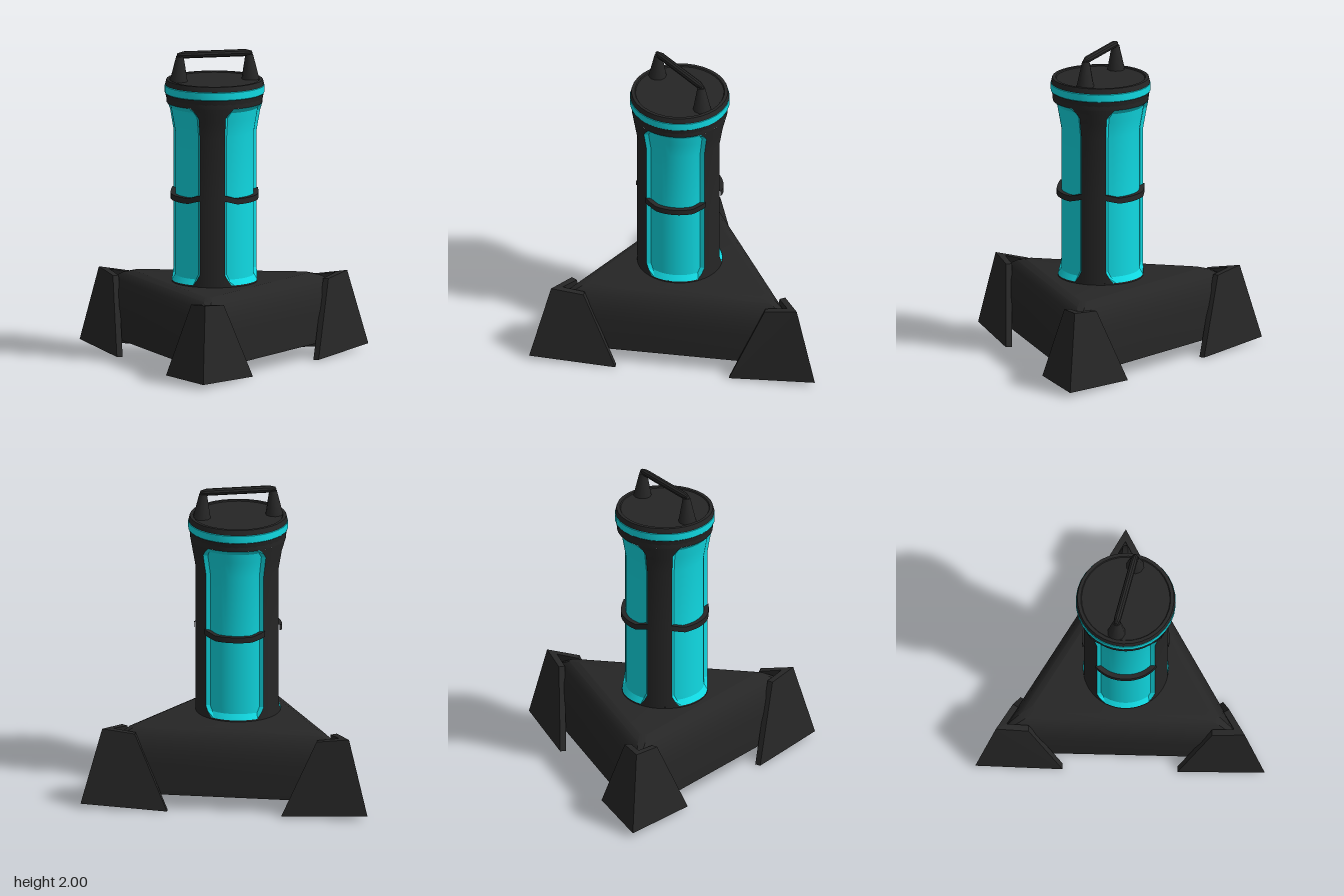
import * as THREE from 'three';
import { toCreasedNormals } from 'three/addons/utils/BufferGeometryUtils.js';
import { ConvexGeometry } from 'three/addons/geometries/ConvexGeometry.js';

const RAD = Math.PI / 180;

// Point at angle a (degrees, from +x towards +z), radius r, height y
const polar = (a, r, y) => new THREE.Vector3(r * Math.cos(a * RAD), y, r * Math.sin(a * RAD));

// Outward-facing surface from rows of points (rows go upwards, points go from +x towards +z)
function skin(rows, crease = 0.45) {
  const pos = [], index = [], n = rows[0].length;
  rows.forEach((row) => row.forEach((p) => pos.push(p.x, p.y, p.z)));
  for (let j = 0; j < rows.length - 1; j++) {
    for (let i = 0; i < n - 1; i++) {
      const a = j * n + i, b = a + 1, d = a + n, c = d + 1;
      index.push(a, d, c, a, c, b);
    }
  }
  const g = new THREE.BufferGeometry();
  g.setAttribute('position', new THREE.Float32BufferAttribute(pos, 3));
  g.setIndex(index);
  return toCreasedNormals(g, crease);
}

function lathe(points, sides = 32) {
  return toCreasedNormals(new THREE.LatheGeometry(points.map(([r, y]) => new THREE.Vector2(r, y)), sides), 0.45);
}

// Column radius: straight, then flared below the cap
function columnRadius(y) {
  const t = Math.max(0, (y - 1.48) / 0.2);
  return 0.27 + 0.035 * Math.min(1, t);
}

// Window rows: [height, half angle of the opening]
const WINDOW = [[0.53, 33], [0.565, 39], [0.6, 43], [1.03, 43], [1.48, 43], [1.58, 43], [1.61, 43], [1.64, 39], [1.67, 33]];

export function createModel() {
  const dark = new THREE.MeshStandardMaterial({ color: 0x262626 });
  dark.name = 'charcoal';
  const teal = new THREE.MeshStandardMaterial({ color: 0x10dae3 });
  teal.name = 'turquoise';

  const model = new THREE.Group();
  const add = (parent, name, geometry, material) => {
    const mesh = new THREE.Mesh(geometry, material);
    mesh.name = name;
    parent.add(mesh);
    return mesh;
  };

  // Three-sided base with cut corners and rounded shoulders
  const base = new THREE.Group();
  base.name = 'base';
  base.position.set(0.25, 0, -0.012);
  base.rotation.y = -1.7 * RAD;
  model.add(base);
  const ring = (y, apothem, corner) => {
    const half = (2 * apothem - corner) * Math.tan(30 * RAD);
    const r = Math.hypot(corner, half), da = Math.atan2(half, corner) / RAD;
    const row = [];
    for (let k = 0; k < 3; k++) row.push(polar(60 + 120 * k - da, r, y), polar(60 + 120 * k + da, r, y));
    row.push(row[0].clone());
    return row;
  };
  add(base, 'baseBody', skin([
    ring(0.09, 0, 0), ring(0.09, 0.455, 0.88), ring(0.3, 0.45, 0.87), ring(0.39, 0.437, 0.845),
    ring(0.46, 0.41, 0.79), ring(0.5, 0.375, 0.71), ring(0.52, 0.335, 0.63), ring(0.52, 0, 0),
  ]), dark);

  // Feet: two leaning plates meeting at each corner
  for (let k = 0; k < 3; k++) {
    const foot = new THREE.Group();
    foot.name = 'foot';
    foot.rotation.y = -(60 + 120 * k) * RAD;
    base.add(foot);
    for (const s of [1, -1]) {
      const p = (r, y, t) => new THREE.Vector3(r, y, t * s);
      add(foot, 'footPlate', new ConvexGeometry([
        p(1.058, 0.03, 0), p(0.58, 0.003, 0.276), p(0.73, 0.487, 0.104), p(0.91, 0.512, 0),
        p(0.978, 0.025, 0), p(0.56, 0, 0.241), p(0.71, 0.485, 0.069), p(0.83, 0.505, 0),
      ]), dark);
    }
  }

  // Column
  const column = new THREE.Group();
  column.name = 'column';
  column.position.set(0.255, 0, 0.025);
  model.add(column);
  add(column, 'lowerCollar', lathe([[0.27, 0.48], [0.27, 0.53]], 48), dark);
  add(column, 'upperCollar', lathe([[columnRadius(1.67), 1.67], [0.305, 1.69], [0.305, 1.72]], 48), dark);

  for (let k = 0; k < 3; k++) {
    const mid = 120 * k;

    // Upright rail between two windows
    add(column, 'rail', skin(WINDOW.map(([y, h]) => {
      const row = [];
      for (let i = 0; i <= 10; i++) row.push(polar(mid + h + (120 - 2 * h) * i / 10, columnRadius(y), y));
      return row;
    })), dark);

    // Recessed window with a bevelled border
    add(column, 'window', skin(WINDOW.map(([y, h], j) => {
      const row = [];
      const edgeRow = j === 0 || j === WINDOW.length - 1;
      for (let i = 0; i <= 14; i++) {
        const inner = -h + 4 + (2 * h - 8) * (i - 1) / 12;
        const edge = i === 0 || i === 14;
        const a = i === 0 ? -h : i === 14 ? h : inner;
        row.push(polar(mid + a, columnRadius(y) - (edge || edgeRow ? 0 : 0.022), y));
      }
      return row;
    }), 0.3), teal);

    // Middle strap across the window, turned up at its ends
    const strap = [[0.24, -0.018], [0.278, -0.018], [0.278, 0.018], [0.24, 0.018]].map(([r, dy]) => {
      const row = [];
      for (let i = 0; i <= 14; i++) {
        const a = -44 + 88 * i / 14;
        row.push(polar(mid + a, r, 1.068 + dy + 0.025 * Math.max(0, (Math.abs(a) - 25) / 19)));
      }
      return row;
    });
    add(column, 'strap', skin(strap), dark);
  }

  // Cap with a bright band
  add(column, 'capLowerRim', lathe([[0.29, 1.69], [0.305, 1.695], [0.312, 1.728], [0.29, 1.728]]), dark);
  add(column, 'capBand', lathe([[0.3, 1.722], [0.316, 1.732], [0.316, 1.778], [0.3, 1.785]]), teal);
  add(column, 'capTop', lathe([[0.29, 1.78], [0.314, 1.782], [0.306, 1.815], [0.285, 1.815], [0.28, 1.808], [0, 1.808]]), dark);

  // Carry handle set diagonally on the cap
  const handle = new THREE.Group();
  handle.name = 'handle';
  handle.rotation.y = 45 * RAD;
  column.add(handle);
  for (const s of [1, -1]) {
    const post = add(handle, 'handlePost', new THREE.CylinderGeometry(0.024, 0.058, 0.165, 10), dark);
    post.position.set(s * 0.228, 1.885, 0);
    post.rotation.z = s * 0.05;
  }
  const bar = add(handle, 'handleBar', lathe([[0, -0.245], [0.012, -0.24], [0.023, -0.2], [0.023, 0.2], [0.012, 0.24], [0, 0.245]], 10), dark);
  bar.rotation.z = Math.PI / 2;
  bar.position.y = 1.977;

  return model;
}
